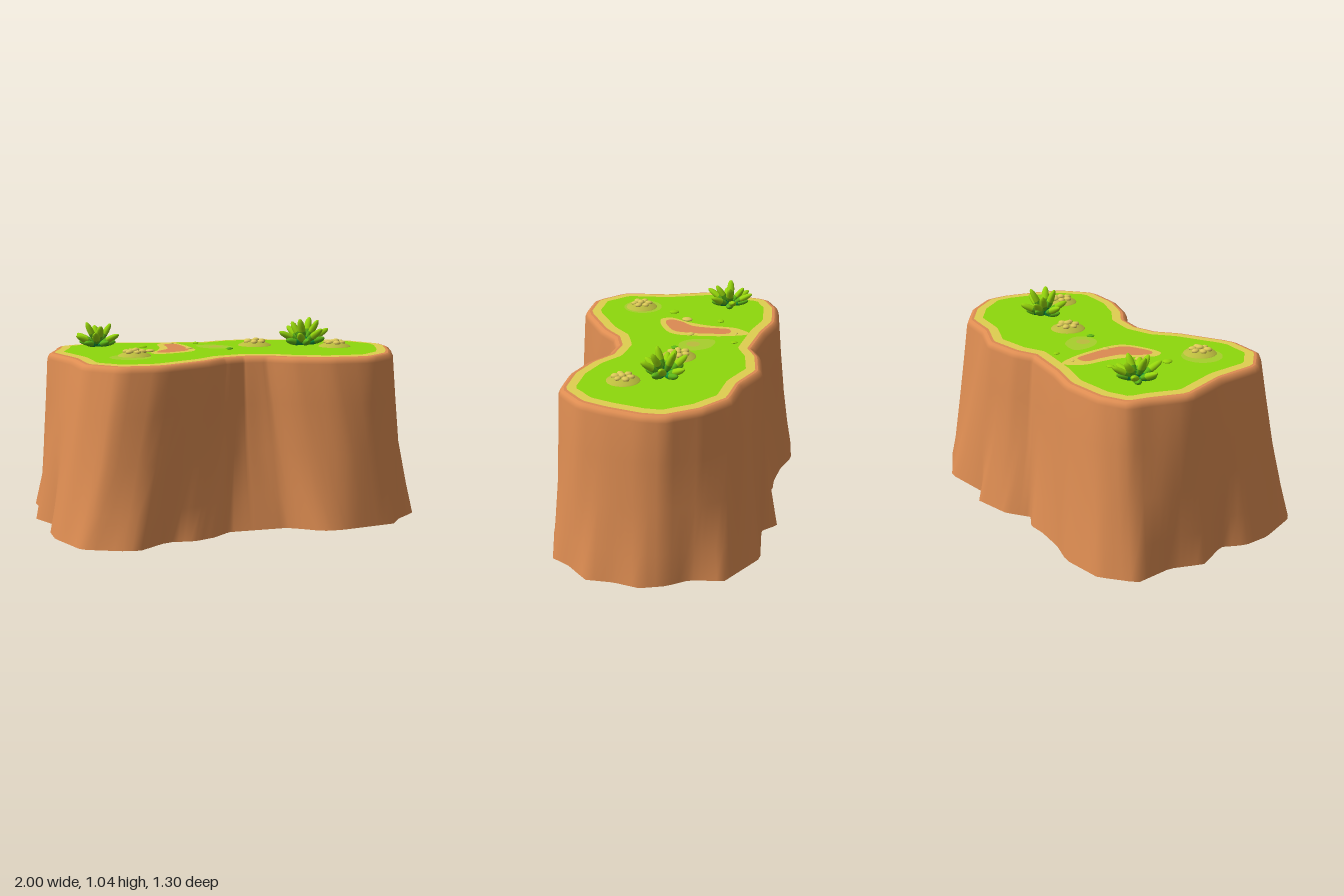
import * as THREE from 'three';

const mat = (name, color) => {
  const m = new THREE.MeshStandardMaterial({ color });
  m.name = name;
  return m;
};
const M = {
  rock: mat('rock', 0xde8d52), earth: mat('earth', 0xdc8a52), sand: mat('sand', 0xe0ce50),
  grass: mat('grass', 0x8ed80c), paleGrass: mat('paleGrass', 0xa8d02c),
  mound: mat('mound', 0xbcbc3e), pebble: mat('pebble', 0xdcc858),
  leafLight: mat('leafLight', 0x96d60c), leafMid: mat('leafMid', 0x5cb616), leafDark: mat('leafDark', 0x12963c),
};

// outlines seen from above, as x, z pairs: jagged foot and edge of the plateau
const FOOT = [1, .08, .955, .21, .94, .35, .81, .45, .74, .54, .43, .58, .33, .57, .25, .5, .18, .45, -.13, .44,
  -.235, .52, -.35, .56, -.49, .535, -.62, .65, -.72, .64, -.92, .54, -.995, .29, -.99, .14, -.925, .03, -1, -.16,
  -.925, -.32, -.93, -.53, -.76, -.645, -.53, -.65, -.385, -.59, -.22, -.555, -.12, -.55, -.04, -.49, .085, -.56,
  .3, -.58, .37, -.5, .66, -.5, .9, -.33, .905, -.16, .97, -.05];
const EDGE = [.87, .07, .81, .24, .75, .36, .61, .465, .41, .44, .25, .37, .14, .28, 0, .25, -.13, .28, -.235, .36,
  -.5, .48, -.69, .455, -.81, .32, -.81, .08, -.875, -.19, -.8, -.36, -.77, -.46, -.64, -.51, -.42, -.51,
  -.26, -.45, 0, -.39, .11, -.43, .3, -.44, .47, -.35, .66, -.31, .79, -.19, .88, -.03];
const N = 160;

// resample an outline at even angles, so that all rings match point for point
function ring(flat) {
  const n = flat.length / 2, out = [];
  for (let k = 0; k < N; k++) {
    const t = k / N * Math.PI * 2, dx = Math.cos(t), dz = Math.sin(t);
    let best = 0;
    for (let i = 0; i < n; i++) {
      const j = (i + 1) % n, ax = flat[2 * i], az = flat[2 * i + 1];
      const ex = flat[2 * j] - ax, ez = flat[2 * j + 1] - az, det = dx * ez - dz * ex;
      if (Math.abs(det) < 1e-9) continue;
      const r = (ax * ez - az * ex) / det, s = (ax * dz - az * dx) / det;
      if (r > 0 && s >= -1e-6 && s <= 1 + 1e-6) best = Math.max(best, r);
    }
    out.push(new THREE.Vector2(dx * best, dz * best));
  }
  return out;
}
const at = (r, i) => r[(i + N) % N];
// move a ring outwards (d > 0) or inwards
const offset = (r, d) => r.map((p, i) => {
  const t = at(r, i + 3).clone().sub(at(r, i - 3)).normalize();
  return new THREE.Vector2(p.x + t.y * d, p.y - t.x * d);
});
const smooth = (r, w) => r.map((_, i) => {
  const s = new THREE.Vector2();
  for (let k = -w; k <= w; k++) s.add(at(r, i + k));
  return s.divideScalar(2 * w + 1);
});
const mix = (a, b, t) => a.map((p, i) => p.clone().lerp(b[i], t));
// how far the wall has flared at mid height: little at the waist and the right end, more at the lobes
const flare = x => .32 + .26 * THREE.MathUtils.smoothstep(Math.abs(x), .1, .45)
  - .25 * THREE.MathUtils.smoothstep(x, .75, .92);

function geometry(pos, idx) {
  const g = new THREE.BufferGeometry();
  g.setAttribute('position', new THREE.Float32BufferAttribute(pos, 3));
  g.setIndex(idx);
  g.computeVertexNormals();
  return g;
}
// wall through a stack of [ring, height]
function loft(levels) {
  const pos = [], idx = [];
  levels.forEach(([r, y]) => r.forEach(p => pos.push(p.x, y, p.y)));
  for (let l = 0; l < levels.length - 1; l++) for (let i = 0; i < N; i++) {
    const a = l * N + i, b = l * N + (i + 1) % N;
    idx.push(a, a + N, b, b, a + N, b + N);
  }
  return geometry(pos, idx);
}
function cap(r, y, centreY = y, up = true) {
  const pos = [0, centreY, 0], idx = [];
  r.forEach(p => pos.push(p.x, y, p.y));
  for (let i = 0; i < N; i++) {
    const a = 1 + i, b = 1 + (i + 1) % N;
    idx.push(0, ...(up ? [b, a] : [a, b]));
  }
  return geometry(pos, idx);
}
function add(parent, name, geo, material) {
  const m = new THREE.Mesh(geo, material);
  m.name = name;
  parent.add(m);
  return m;
}
// flat rounded ground patch from x, z pairs
function patch(flat, y) {
  const pts = [];
  for (let i = 0; i < flat.length; i += 2) pts.push(new THREE.Vector3(flat[i], -flat[i + 1], 0));
  const outline = new THREE.CatmullRomCurve3(pts, true).getPoints(60).slice(0, -1);
  const shape = new THREE.Shape(outline.map(p => new THREE.Vector2(p.x, p.y)));
  return new THREE.ShapeGeometry(shape).rotateX(-Math.PI / 2).translate(0, y, 0);
}
const disc = (x, z, r, y) => new THREE.CircleGeometry(r, 28).rotateX(-Math.PI / 2).translate(x, y, z);

// plump leaf in three sections, from foot to tip
const LEAF = [
  [[.007, 0], [.013, .018], [.018, .04]],
  [[.018, .04], [.0215, .056], [.023, .072]],
  [[.023, .072], [.0225, .095], [.018, .118], [.01, .133], [0, .139]],
].map(pts => new THREE.LatheGeometry(pts.map(p => new THREE.Vector2(...p)), 10));
const BRIGHT = [M.leafDark, M.leafMid, M.leafLight], SHADY = [M.leafDark, M.leafDark, M.leafMid];

function makePlant(x, y, z, turn, height) {
  const plant = new THREE.Group();
  plant.name = 'plant';
  const tiers = [[5, 1.3, .78, SHADY], [6, 1.08, 1.06, BRIGHT], [4, .52, 1.02, BRIGHT]]; // count, tilt, length, colours
  tiers.forEach(([count, tilt, len, colours], t) => {
    for (let i = 0; i < count; i++) {
      const leaf = new THREE.Group();
      leaf.name = 'leaf';
      leaf.rotation.order = 'YXZ';
      leaf.rotation.set(tilt + .1 * Math.sin(i * 2.3), (i + t * .4) / count * Math.PI * 2 + turn, 0);
      leaf.scale.set(.92, len * (1 + .07 * Math.sin(i * 4.1 + turn)), .75);
      LEAF.forEach((g, k) => add(leaf, 'leafSection', g, colours[k]));
      plant.add(leaf);
    }
  });
  plant.position.set(x, y, z);
  plant.scale.y = height;
  return plant;
}

const ball = new THREE.SphereGeometry(1, 12, 8);
function stone(parent, x, y, z, r, flatness, material, turn) {
  const s = add(parent, 'pebble', ball, material);
  s.position.set(x, y, z);
  s.scale.set(r, r * flatness, r * .85);
  s.rotation.y = turn;
}
// low mound with a thin brim and a cluster of pebbles
const DOME = new THREE.LatheGeometry([[1, 0], [.95, .004], [.75, .012], [.5, .021], [.25, .025], [0, .026]]
  .map(p => new THREE.Vector2(...p)), 24);
function makeMound(x, y, z, r) {
  const g = new THREE.Group();
  g.name = 'pebbleMound';
  add(g, 'dome', DOME, M.mound).scale.set(r, 1, r);
  add(g, 'domeBase', new THREE.CircleGeometry(r, 24).rotateX(Math.PI / 2), M.mound);
  for (let i = 0; i < 6; i++) {
    const a = i / 6 * Math.PI * 2 + x * 5;
    stone(g, Math.cos(a) * r * .46, .021, Math.sin(a) * r * .46, .021 + .003 * Math.sin(i * 3), .55, M.pebble, -a);
  }
  stone(g, .006, .028, .003, .021, .6, M.pebble, .5);
  g.position.set(x, y, z);
  return g;
}

export function createModel() {
  const model = new THREE.Group();
  model.name = 'plateau';

  // cliff: jagged foot, smoother upper wall, rounded shoulder
  const foot = ring(FOOT), edge = ring(EDGE), wide = smooth(foot, 5);
  const shoulder = offset(edge, .045);
  const mid = shoulder.map((p, i) => p.clone().lerp(wide[i], flare(p.x)));
  add(model, 'cliff', loft([[foot, .008], [mix(foot, mid, .45), .17], [mid, .4], [mix(mid, shoulder, .55), .64],
    [shoulder, .85], [offset(edge, .035), .873], [offset(edge, .018), .88]]), M.rock);
  add(model, 'underside', cap(foot, .008, 0, false), M.rock);

  // ground bands
  add(model, 'earthRim', cap(offset(edge, .02), .88), M.earth);
  add(model, 'sandBand', cap(offset(edge, .006), .8825), M.sand);
  add(model, 'grass', cap(offset(edge, -.042), .885), M.grass);

  // bare patches
  add(model, 'sandPatch', patch([-.28, -.33, -.2, -.4, -.16, -.3, -.15, -.13, -.175, .01, -.29, .075, -.4, .085,
    -.42, .03, -.36, -.06, -.31, -.18], .8875), M.sand);
  add(model, 'earthPatch', patch([-.255, -.29, -.195, -.295, -.18, -.19, -.185, -.09, -.21, 0, -.28, .04, -.36, .058,
    -.385, .035, -.355, -.03, -.295, -.09, -.27, -.19], .89), M.earth);
  add(model, 'palePatch', patch([-.09, -.22, .02, -.2, .07, -.1, .04, -.05, -.04, -.04, -.1, -.11], .8875), M.paleGrass);
  add(model, 'paleCentre', disc(-.02, -.112, .036, .89), M.mound);
  add(model, 'moundPatch', disc(-.575, .205, .105, .892), M.paleGrass);

  // plants, mounds and loose pebbles
  model.add(makePlant(-.625, .9, -.28, .3, .92), makePlant(.445, .9, 0, 1.1, 1.06));
  model.add(makeMound(-.555, .9, .21, .085), makeMound(.18, .897, -.05, .09), makeMound(.54, .905, .195, .085));
  [[-.385, -.24, .022, M.leafLight], [-.4, -.055, .03, M.pebble], [-.515, .025, .028, M.leafLight],
    [-.175, -.09, .022, M.pebble], [.03, -.02, .021, M.leafMid], [-.065, -.325, .018, M.leafLight],
    [-.2, -.33, .012, M.pebble]].forEach(([x, z, r, m], i) => stone(model, x, .888, z, r, .3, m, i));
  return model;
}
